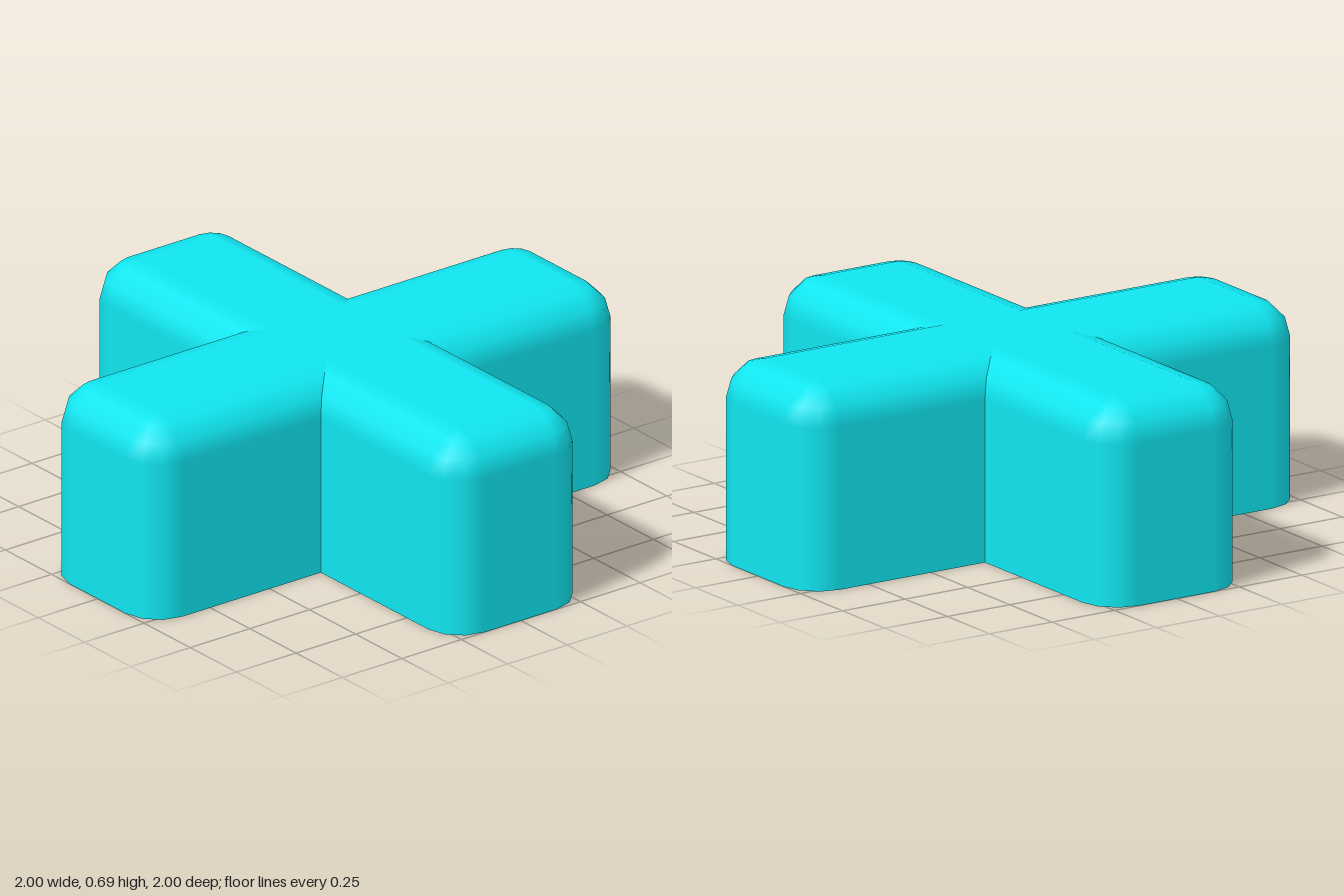
import * as THREE from 'three';

const HEIGHT = 0.695, LENGTH = 2, WIDTH = 0.572, RADIUS = 0.135, STEPS = 3;

// Rounded box shell, open underneath: rounded-rectangle loops stacked up to a flat top
function openRoundedBox(length, height, width, r) {
  const positions = [], normals = [], index = [];
  const perCorner = STEPS + 1, ring = 4 * perCorner;
  const cx = length / 2 - r, cz = width / 2 - r;

  // First loop is the bottom rim, the rest follow the rounded shoulder
  for (let level = -1; level <= STEPS; level++) {
    const a = Math.max(level, 0) / STEPS * Math.PI / 2;
    const y = level < 0 ? 0 : height - r + r * Math.sin(a);
    for (let corner = 0; corner < 4; corner++) {
      const sx = corner === 0 || corner === 3 ? 1 : -1;
      const sz = corner < 2 ? 1 : -1;
      for (let k = 0; k <= STEPS; k++) {
        const t = (corner + k / STEPS) * Math.PI / 2;
        const nx = Math.cos(a) * Math.cos(t), nz = Math.cos(a) * Math.sin(t);
        positions.push(sx * cx + r * nx, y, sz * cz + r * nz);
        normals.push(nx, Math.sin(a), nz);
      }
    }
  }
  // Walls and shoulder
  for (let level = 0; level <= STEPS; level++) {
    for (let j = 0; j < ring; j++) {
      const a = level * ring + j, b = level * ring + (j + 1) % ring;
      index.push(a, a + ring, b, b, a + ring, b + ring);
    }
  }
  // Flat top between the four corner centres
  const [p, q, s, u] = [0, 1, 2, 3].map((c) => (STEPS + 1) * ring + c * perCorner);
  index.push(p, s, q, p, u, s);

  const geometry = new THREE.BufferGeometry();
  geometry.setAttribute('position', new THREE.Float32BufferAttribute(positions, 3));
  geometry.setAttribute('normal', new THREE.Float32BufferAttribute(normals, 3));
  geometry.setIndex(index);
  return geometry;
}

export function createModel() {
  const model = new THREE.Group();
  model.name = 'crossBlock';
  const material = new THREE.MeshStandardMaterial({ color: 0x10e6f0, side: THREE.DoubleSide });
  const geometry = openRoundedBox(LENGTH, HEIGHT, WIDTH, RADIUS);

  // Two equal bars crossing at the centre
  ['sideToSideBar', 'frontToBackBar'].forEach((name, i) => {
    const bar = new THREE.Mesh(geometry, material);
    bar.name = name;
    bar.rotation.y = i * Math.PI / 2;
    model.add(bar);
  });
  return model;
}
